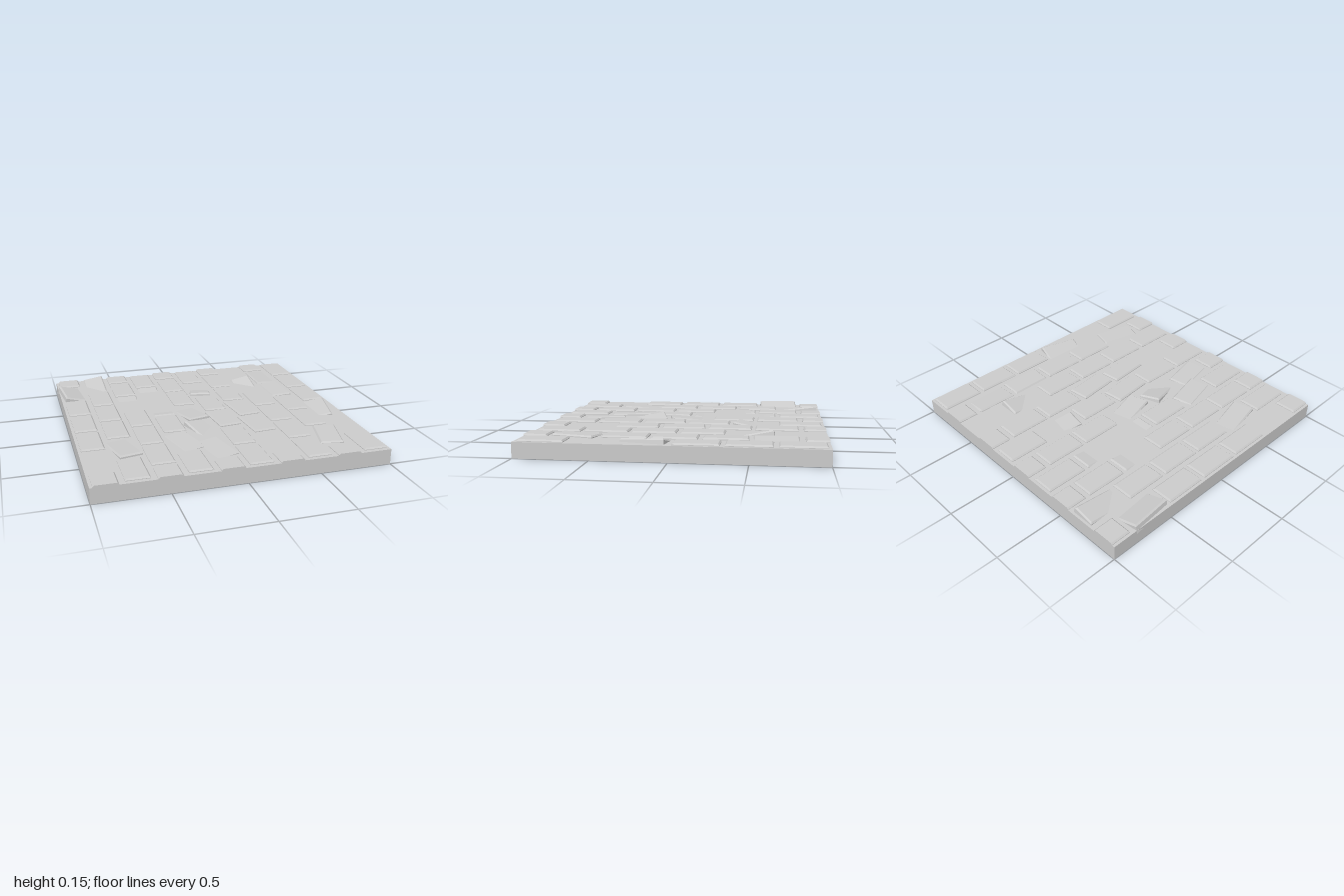
import * as THREE from 'three';

const SLAB = 0.107;      // height of the bed
const BRICK_TOP = 0.121; // top of a level brick
const W = 0.16, D = 0.3, H = 0.06, BEVEL = 0.01;

const material = new THREE.MeshStandardMaterial({ color: 0xcccccc, flatShading: true });

// Brick with a chamfered top rim; its origin is the centre of the top face.
// Ends cut off at the slab border (z = -1 or 1) stay square.
function brickGeometry(depth = D, cutBack = false, cutFront = false) {
  const geo = new THREE.BoxGeometry(W, H, depth, 1, 2, 1);
  geo.translate(0, -H / 2, 0);
  const p = geo.attributes.position;
  for (let i = 0; i < p.count; i++) {
    const x = p.getX(i), y = p.getY(i), z = p.getZ(i);
    if (y > -0.001) {
      p.setX(i, x - Math.sign(x) * BEVEL);
      if (!(z < 0 ? cutBack : cutFront)) p.setZ(i, z - Math.sign(z) * BEVEL);
    } else if (y > -H + 0.001) {
      p.setY(i, -BEVEL);
    }
  }
  const flat = geo.toNonIndexed();
  flat.computeVertexNormals();
  return flat;
}

// Level bricks: centre z per column, from the left edge (-x) to the right
const EVEN = { a: -0.665, b: -0.34, c: -0.01, d: 0.32, e: 0.65 };
const ODD = { a: -0.83, b: -0.5, c: -0.17, d: 0.16, e: 0.49, f: 0.82 };
const LEVEL = ['bcd', 'bcdf', 'acde', 'adf', 'ab', 'acef', 'ab', 'cdef', 'cd', 'abcf'];
// Columns whose bricks are cut by the border
const CUT_COLUMNS = [0, 2, 4, 6, 8];

// Loose bricks: x, y, z of top centre, yaw, pitch, roll
const LOOSE = [
  [-0.9, 0.125, -0.67, 0.09, 0, -0.25],
  [-0.7, 0.118, -0.83, 0, 0.13, 0.16],
  [-0.5, 0.1, -0.34, 0, 0.12, 0],
  [-0.3, 0.098, -0.5, 0, 0.15, 0],
  [-0.3, 0.097, -0.17, 0, -0.12, 0],
  [-0.285, 0.117, 0.49, 0.25, 0, 0.08],
  [-0.11, 0.116, -0.012, 0.23, -0.1, 0],
  [-0.09, 0.111, 0.33, 0.29, 0.16, -0.12],
  [-0.105, 0.117, 0.654, 0.22, 0, 0.08],
  [0.105, 0.105, -0.51, -0.2, -0.17, 0],
  [0.097, 0.123, 0.157, 0.1, 0, 0],
  [0.3, 0.122, -0.01, 0.11, 0, 0],
  [0.3, 0.122, 0.32, 0.09, 0, 0],
  [0.5, 0.104, -0.5, 0, 0.2, 0.2],
  [-0.704, 0.117, 0.487, 0.2, -0.07, 0],
  [0.7, 0.114, -0.665, 0, 0, -0.08],
  [0.7, 0.12, -0.34, 0.02, 0, 0.04],
  [0.703, 0.12, 0.652, -0.24, 0, 0.04],
  [0.85, 0.118, 0.16, -0.2, 0.05, 0.25],
];

export function createModel() {
  const model = new THREE.Group();
  model.name = 'brickPavingTile';

  const slab = new THREE.Mesh(new THREE.BoxGeometry(2, SLAB, 2), material);
  slab.name = 'slab';
  slab.position.y = SLAB / 2;
  model.add(slab);

  const addBrick = (parent, name, geo, x, y, z) => {
    const brick = new THREE.Mesh(geo, material);
    brick.name = name;
    brick.position.set(x, y, z);
    parent.add(brick);
    return brick;
  };
  const columnX = (i) => -0.9 + 0.2 * i;
  const whole = brickGeometry();

  // Regular running bond
  const level = new THREE.Group();
  level.name = 'levelBricks';
  LEVEL.forEach((keys, i) => {
    const rows = i % 2 ? ODD : EVEN;
    for (const k of keys) {
      // the last row letter of an even column is the cut front brick
      if (rows[k] !== undefined) addBrick(level, 'brick', whole, columnX(i), BRICK_TOP, rows[k]);
    }
  });

  // Half bricks flush with the back and front borders
  const backCut = brickGeometry(0.15, true, false);
  const frontCut = brickGeometry(0.16, false, true);
  for (const i of CUT_COLUMNS) {
    addBrick(level, 'backCutBrick', backCut, columnX(i), BRICK_TOP, -0.925);
    addBrick(level, 'frontCutBrick', frontCut, columnX(i), BRICK_TOP, 0.92);
  }
  model.add(level);

  // Tilted, twisted and partly sunken bricks
  const loose = new THREE.Group();
  loose.name = 'looseBricks';
  for (const [x, y, z, yaw, pitch, roll] of LOOSE) {
    addBrick(loose, 'looseBrick', whole, x, y, z).rotation.set(pitch, yaw, roll, 'YXZ');
  }
  model.add(loose);

  return model;
}
